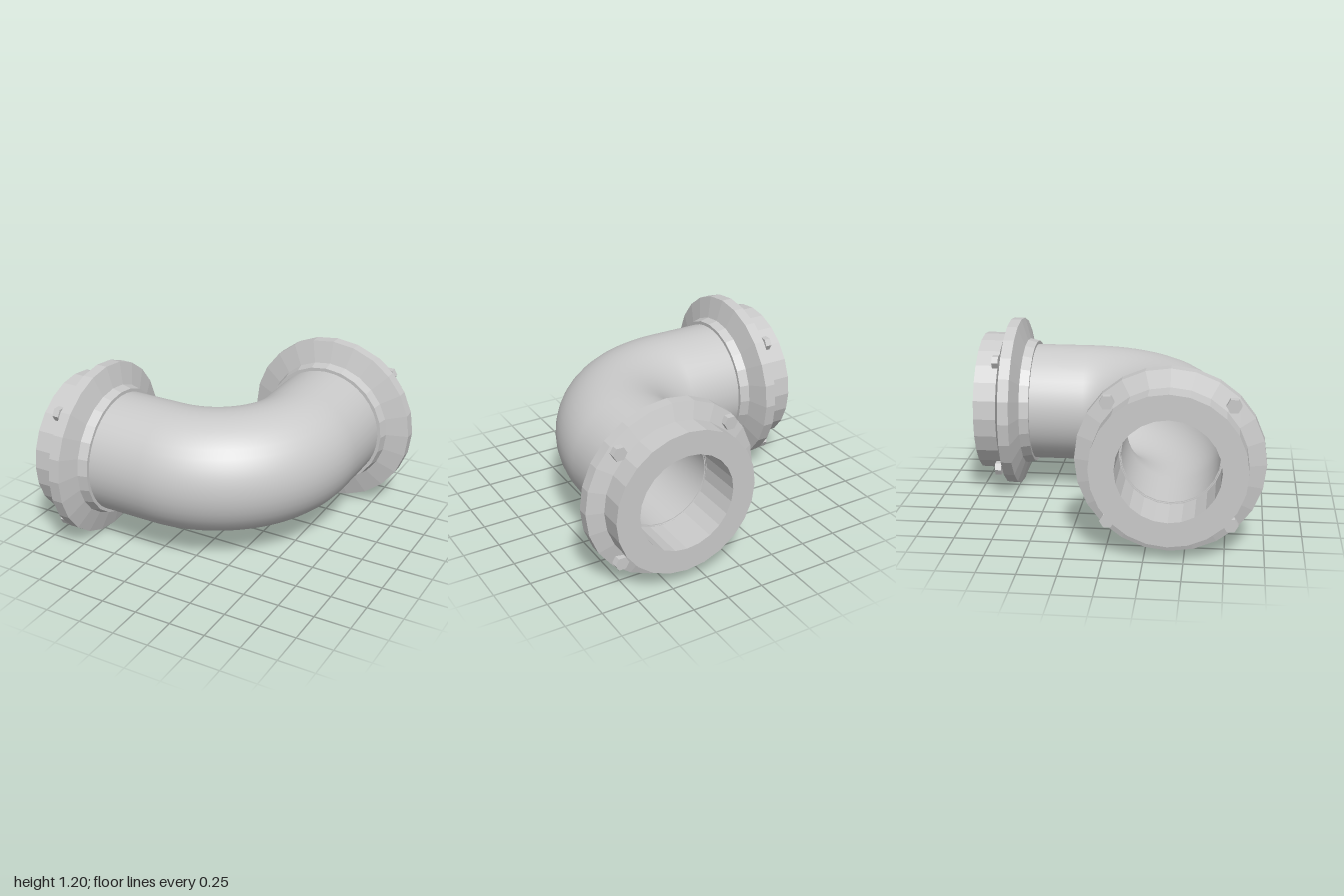
import * as THREE from 'three';

const AXIS_Y = 0.603;   // height of the pipe centre line
const OFFSET = 0.4;     // sideways position of each pipe mouth
const BEND = 0.65;      // centre-line radius of the elbow
const START = -0.7;     // where the tube begins inside each coupling

// Centre line: straight run, quarter bend, straight run
class ElbowCurve extends THREE.Curve {
  getPoint(t, target = new THREE.Vector3()) {
    const c = OFFSET - BEND;
    const run = c - START;
    const arc = BEND * Math.PI / 2;
    const s = t * (2 * run + arc);
    if (s < run) return target.set(START + s, AXIS_Y, OFFSET);
    if (s > run + arc) return target.set(OFFSET, AXIS_Y, c - (s - run - arc));
    const a = (s - run) / BEND;
    return target.set(c + BEND * Math.sin(a), AXIS_Y, c + BEND * Math.cos(a));
  }
}

// Turn a surface inside out
function flip(geometry) {
  const index = geometry.index.array;
  for (let i = 0; i < index.length; i += 3) {
    [index[i], index[i + 1]] = [index[i + 1], index[i]];
  }
  geometry.computeVertexNormals();
  return geometry;
}

// Faceted faces with hard edges
function facet(geometry) {
  const flat = geometry.toNonIndexed();
  flat.computeVertexNormals();
  return flat;
}

export function createModel() {
  const model = new THREE.Group();
  model.name = 'pipeElbow';
  const metal = new THREE.MeshStandardMaterial({ color: 0xcacaca });
  metal.name = 'light grey metal';

  const add = (parent, name, geometry) => {
    const mesh = new THREE.Mesh(geometry, metal);
    mesh.name = name;
    parent.add(mesh);
    return mesh;
  };

  // Smooth bent tube, outside and inside walls
  const curve = new ElbowCurve();
  add(model, 'pipeOuterWall', new THREE.TubeGeometry(curve, 56, 0.411, 40));
  add(model, 'pipeInnerWall', flip(new THREE.TubeGeometry(curve, 56, 0.32, 40)));

  // Coupling cross-section: radius, distance inward from the mouth
  const profile = [
    [0.33, 0], [0.49, 0], [0.49, 0.155], [0.598, 0.19], [0.598, 0.265],
    [0.45, 0.31], [0.435, 0.375], [0.4, 0.375], [0.315, 0.31], [0.33, 0.31], [0.33, 0],
  ].map(([r, y]) => new THREE.Vector2(r, y));
  const couplingGeometry = facet(new THREE.LatheGeometry(profile, 24));
  const boltGeometry = facet(new THREE.CylinderGeometry(0.048, 0.048, 0.044, 6));

  // One coupling with four hex bolts, its local +y pointing into the pipe
  function coupling(name, boltTurn) {
    const group = new THREE.Group();
    group.name = name;
    add(group, 'flange', couplingGeometry);
    for (const sx of [-1, 1]) {
      for (const sz of [-1, 1]) {
        const bolt = add(group, 'bolt', boltGeometry);
        bolt.position.set(sx * 0.387, 0.151, sz * 0.387);
        bolt.rotation.y = boltTurn;
      }
    }
    model.add(group);
    return group;
  }

  const side = coupling('sideCoupling', 0);
  side.position.set(-1, AXIS_Y, OFFSET);
  side.rotation.z = -Math.PI / 2;

  const back = coupling('backCoupling', Math.PI / 2);
  back.position.set(OFFSET, AXIS_Y, -1);
  back.rotation.x = Math.PI / 2;

  return model;
}
